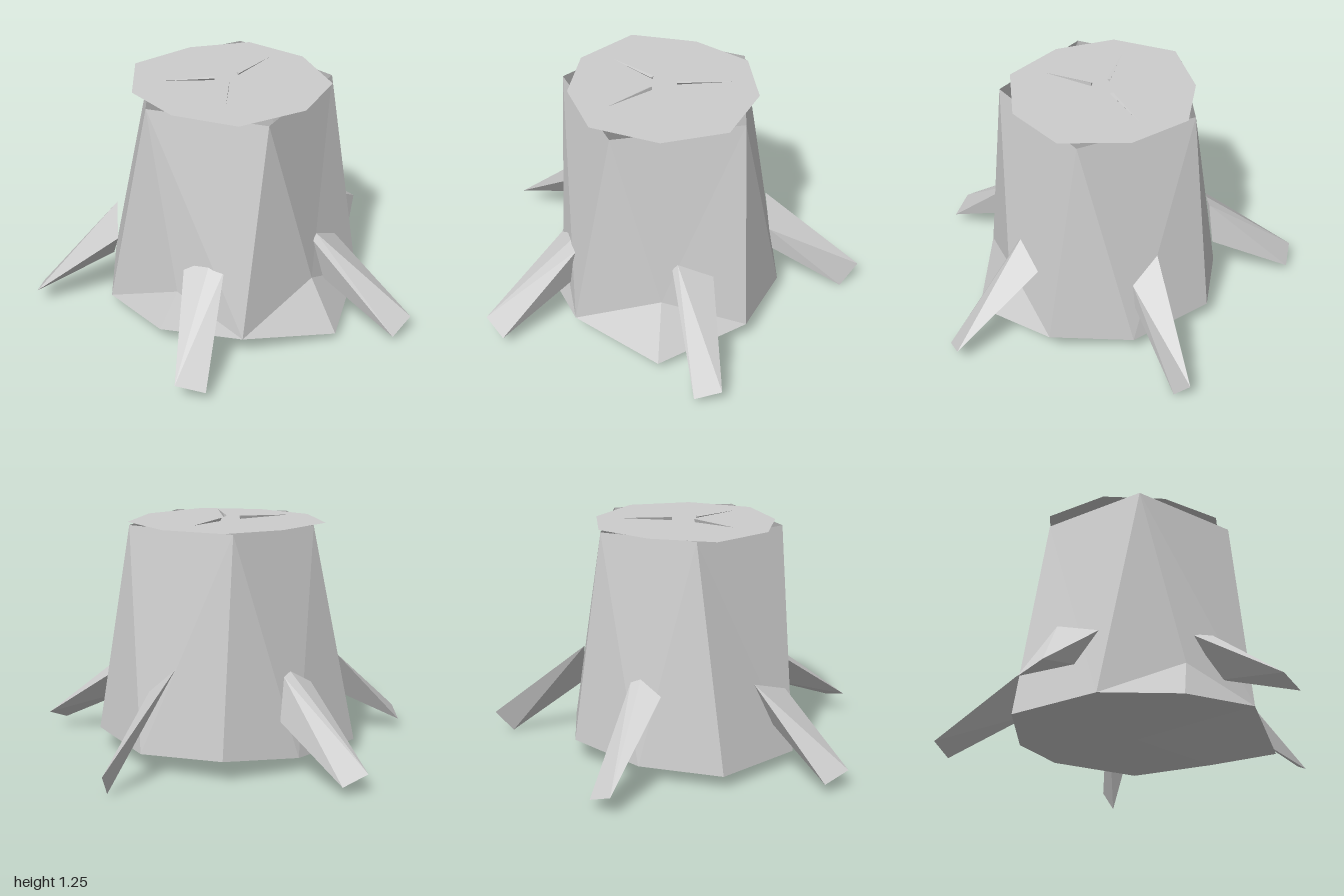
import * as THREE from 'three';
import { ConvexGeometry } from 'three/addons/geometries/ConvexGeometry.js';

const wood = new THREE.MeshStandardMaterial({ color: 0xcccccc, flatShading: true, side: THREE.DoubleSide });
wood.name = 'pale grey wood';

function addPart(group, name, geometry) {
  const mesh = new THREE.Mesh(geometry, wood);
  mesh.name = name;
  group.add(mesh);
  return mesh;
}

// Faceted trunk: five corners at the top, nine at the flared foot
function trunkGeometry() {
  const p = {
    T0: [-0.06, 1.22, 0.61], T1: [0.49, 1.22, 0.26], T2: [0.28, 1.22, -0.33],
    T3: [-0.24, 1.22, -0.33], T4: [-0.5, 1.22, 0.19],
    a: [-0.24, 0.12, 0.71], b: [0.25, 0.045, 0.79], c: [0.59, 0.12, 0.43],
    d: [0.62, 0.09, 0], e: [0.41, 0.115, -0.41], f: [0, 0.075, -0.51],
    g: [-0.44, 0.07, -0.45], h: [-0.65, 0.07, 0], i: [-0.55, 0.08, 0.4],
    K: [0.2, 0.3, 0.62], L: [-0.45, 0.28, 0.4], O: [0, 0.07, 0.1],
  };
  const faces = [
    'a K T0', 'K T1 T0', 'K c T1', 'a b K', 'b c K',
    'c d T1', 'd T2 T1', 'd e T2',
    'e f T2', 'f T3 T2', 'f g T3',
    'g h T3', 'h T4 T3',
    'h L T4', 'L a T4', 'a T0 T4', 'h i L', 'i a L',
  ];
  // Underside fan
  const foot = [...'abcdefghi'];
  foot.forEach((k, n) => faces.push(`${foot[(n + 1) % 9]} ${k} O`));
  const geometry = new THREE.BufferGeometry();
  const positions = faces.flatMap((face) => face.split(' ').flatMap((k) => p[k]));
  geometry.setAttribute('position', new THREE.Float32BufferAttribute(positions, 3));
  geometry.computeVertexNormals();
  return geometry;
}

export function createModel() {
  const stump = new THREE.Group();
  stump.name = 'treeStump';

  addPart(stump, 'trunk', trunkGeometry());

  // Flat nine-sided cut surface
  const rim = [[-0.34, -0.31], [-0.49, 0], [-0.42, 0.31], [-0.19, 0.555], [0.17, 0.55],
    [0.44, 0.35], [0.47, 0], [0.31, -0.29], [0, -0.37]];
  const cut = new THREE.Shape(rim.map(([x, z]) => new THREE.Vector2(x, -z)));
  addPart(stump, 'cutTop', new THREE.ShapeGeometry(cut).rotateX(-Math.PI / 2)).position.y = 1.222;

  // Thin cracks tapering outward: inner end, outer tip
  const cracks = [
    [[-0.07, 0.06], [-0.32, -0.03]],
    [[0.06, 0.06], [0.31, -0.05]],
    [[-0.04, 0.15], [-0.17, 0.38]],
  ];
  for (const [[x0, z0], [x1, z1]] of cracks) {
    const dir = new THREE.Vector3(x1 - x0, 0, z1 - z0);
    const geometry = new THREE.ConeGeometry(0.011, dir.length(), 3);
    const crack = addPart(stump, 'crack', geometry);
    crack.quaternion.setFromUnitVectors(new THREE.Vector3(0, 1, 0), dir.normalize());
    crack.position.set((x0 + x1) / 2, 1.236, (z0 + z1) / 2);
  }

  // Wedge roots: corners against the trunk, then the two corners of the outer edge
  const roots = {
    frontRightRoot: [[-0.31, 0.495, 0.5], [-0.275, 0.46, 0.575], [-0.43, 0.43, 0.44],
      [-0.31, 0.24, 0.55], [-0.68, 0.1, 0.86], [-0.55, 0.06, 0.93]],
    frontLeftRoot: [[0.26, 0.51, 0.55], [0.235, 0.48, 0.56], [0.42, 0.42, 0.47],
      [0.29, 0.25, 0.56], [0.5, 0.04, 0.94], [0.63, 0.1, 0.9]],
    backRoot: [[-0.11, 0.45, -0.47], [0.01, 0.52, -0.45], [0.06, 0.5, -0.46],
      [0.1, 0.28, -0.48], [-0.06, 0.1, -0.95], [0.07, 0.05, -0.91]],
    rightRoot: [[-0.51, 0.49, -0.22], [-0.6, 0.41, 0], [-0.58, 0.25, -0.12],
      [-1, 0.095, -0.18], [-0.92, 0.055, -0.31]],
    leftRoot: [[0.49, 0.54, -0.13], [0.56, 0.41, 0], [0.58, 0.28, -0.01],
      [0.93, 0.0, -0.17], [1, 0.12, -0.24]],
  };
  for (const [name, corners] of Object.entries(roots)) {
    addPart(stump, name, new ConvexGeometry(corners.map((c) => new THREE.Vector3(...c))));
  }

  return stump;
}
